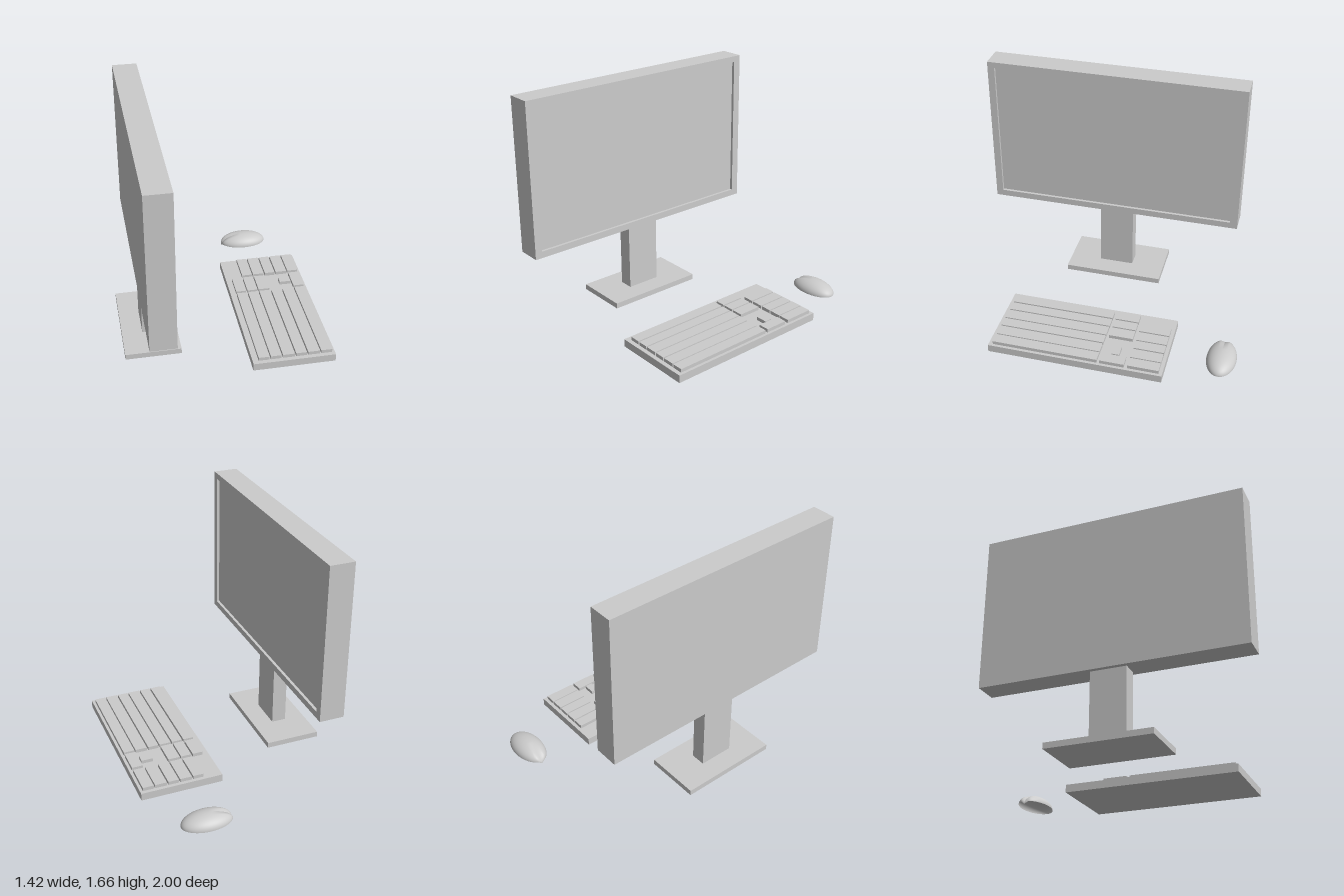
import * as THREE from 'three';

const material = new THREE.MeshStandardMaterial({ color: 0xcccccc, side: THREE.DoubleSide });

// Box given by its lower and upper limits on each axis
function box(name, [x0, x1], [y0, y1], [z0, z1]) {
  const mesh = new THREE.Mesh(new THREE.BoxGeometry(x1 - x0, y1 - y0, z1 - z0), material);
  mesh.name = name;
  mesh.position.set((x0 + x1) / 2, (y0 + y1) / 2, (z0 + z1) / 2);
  return mesh;
}

function createMonitor() {
  const monitor = new THREE.Group();
  monitor.name = 'monitor';
  const back = -0.6, front = -0.425, recess = 0.02;
  const y = [0.555, 1.665], z = [-0.845, 1];
  const sy = [0.602, 1.622], sz = [-0.79, 0.95];

  // Casing, with the screen set back inside a bezel
  monitor.add(box('casing', [back, front - recess], y, z));
  const frame = new THREE.Shape();
  frame.moveTo(-z[0], y[0]).lineTo(-z[0], y[1]).lineTo(-z[1], y[1]).lineTo(-z[1], y[0]).closePath();
  const opening = new THREE.Path();
  opening.moveTo(-sz[0], sy[0]).lineTo(-sz[0], sy[1]).lineTo(-sz[1], sy[1]).lineTo(-sz[1], sy[0]).closePath();
  frame.holes.push(opening);
  const bezel = new THREE.Mesh(
    new THREE.ExtrudeGeometry(frame, { depth: recess, bevelEnabled: false }), material);
  bezel.name = 'bezel';
  bezel.rotation.y = Math.PI / 2;
  bezel.position.x = front - recess;
  monitor.add(bezel);

  // Stand
  monitor.add(box('standNeck', [-0.57, -0.465], [0.06, 0.555], [-0.06, 0.19]));
  monitor.add(box('standBase', [-0.715, -0.322], [0.02, 0.06], [-0.3, 0.42]));
  return monitor;
}

function createKeyboard() {
  const keyboard = new THREE.Group();
  keyboard.name = 'keyboard';
  keyboard.add(box('keyboardBase', [0.13, 0.71], [0.02, 0.075], [-0.54, 0.69]));

  // Keys: six rows across x, three blocks along z
  const rows = [[0.172, 0.246], [0.257, 0.332], [0.342, 0.426], [0.435, 0.51], [0.52, 0.604], [0.612, 0.69]];
  const blocks = [
    { name: 'longKey', z: [-0.085, 0.66], rows: [0, 1, 2, 3, 4, 5] },
    { name: 'navigationKey', z: [-0.275, -0.105], rows: [0, 1, 2, 5] },
    { name: 'numberKey', z: [-0.515, -0.3], rows: [1, 2, 3, 4, 5] },
    { name: 'arrowKey', z: [-0.222, -0.168], rows: [4] },
  ];
  for (const block of blocks) {
    for (const r of block.rows) keyboard.add(box(block.name, rows[r], [0.075, 0.1], block.z));
  }
  return keyboard;
}

// Open half-ellipsoid shell with a shallow groove running into its -x end
function createMouse() {
  const geometry = new THREE.SphereGeometry(1, 64, 24, 0, Math.PI * 2, 0, Math.PI / 2);
  geometry.scale(0.178, 0.073, 0.104);
  const p = geometry.attributes.position;
  for (let i = 0; i < p.count; i++) {
    const along = THREE.MathUtils.clamp((-p.getX(i) - 0.03) / 0.148, 0, 1);
    const across = Math.max(0, 1 - Math.abs(p.getZ(i)) / 0.03);
    p.setY(i, p.getY(i) - 0.02 * along * across);
  }
  geometry.computeVertexNormals();
  const mouse = new THREE.Mesh(geometry, material);
  mouse.name = 'mouse';
  mouse.position.set(0.383, 0.02, -0.896);
  return mouse;
}

export function createModel() {
  const model = new THREE.Group();
  model.name = 'desktopComputer';
  model.add(createMonitor(), createKeyboard(), createMouse());
  return model;
}
